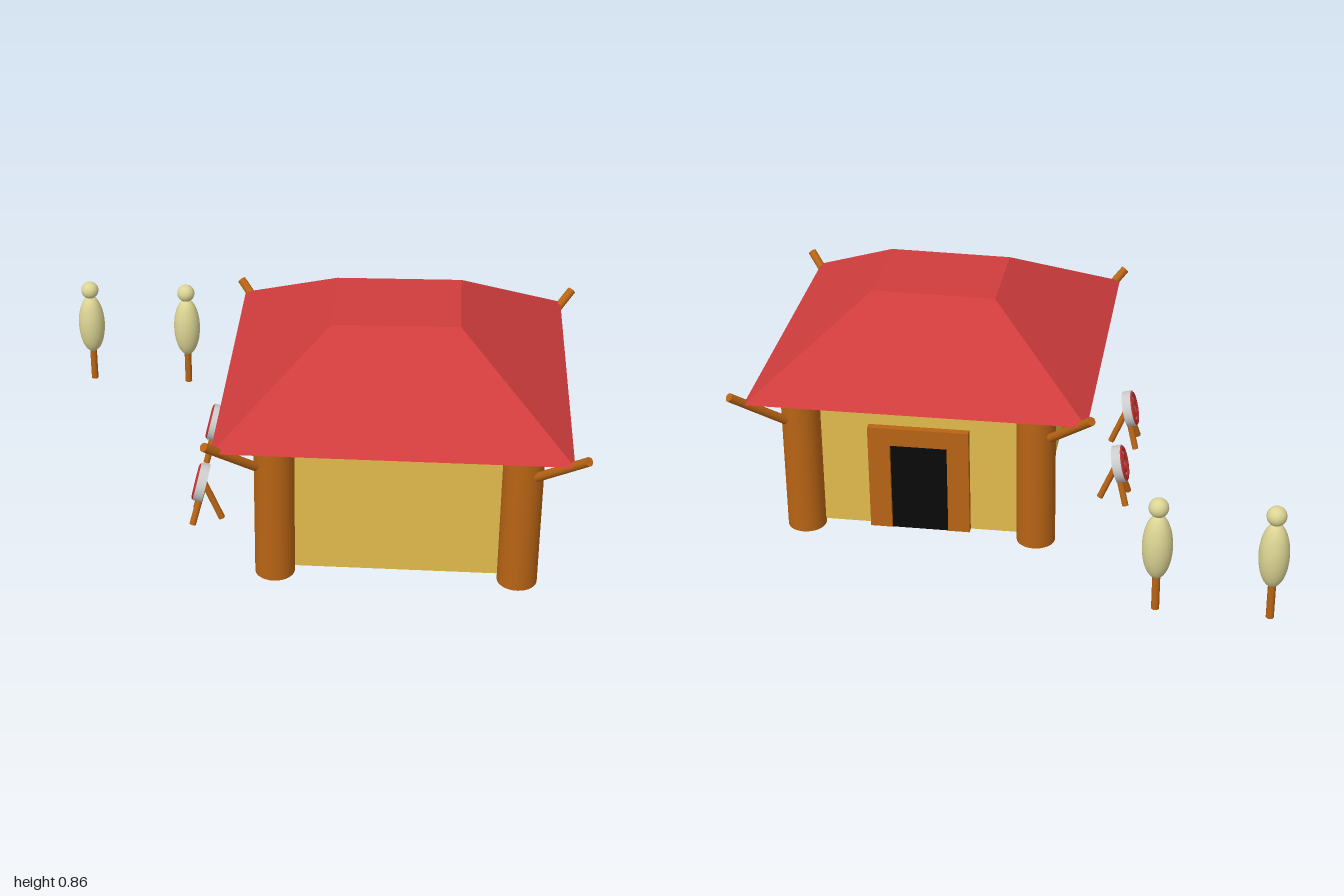
import * as THREE from 'three';

const mat = (color, extra = {}) => new THREE.MeshStandardMaterial({ color, ...extra });
const wood = mat(0xb86414);
const plaster = mat(0xe2bc4c, { side: THREE.DoubleSide, flatShading: true });
const tile = mat(0xd03c3c, { flatShading: true });
const black = mat(0x0a0a0a);
const straw = mat(0xdcd494);
const grey = mat(0xcccccc);
const red = mat(0xc83232);

function add(parent, name, geometry, material, x = 0, y = 0, z = 0) {
  const mesh = new THREE.Mesh(geometry, material);
  mesh.name = name;
  mesh.position.set(x, y, z);
  parent.add(mesh);
  return mesh;
}

// Round pole between two points
function pole(parent, name, a, b, radius) {
  const from = new THREE.Vector3(...a), to = new THREE.Vector3(...b);
  const dir = to.clone().sub(from);
  const mesh = add(parent, name, new THREE.CylinderGeometry(radius, radius, dir.length(), 16), wood);
  mesh.position.copy(from).add(to).multiplyScalar(0.5);
  mesh.quaternion.setFromUnitVectors(new THREE.Vector3(0, 1, 0), dir.normalize());
}

// Hipped roof: a box whose upper corners are drawn in to a small flat top
function roofGeometry() {
  const geo = new THREE.BoxGeometry(1, 1, 1);
  const p = geo.attributes.position;
  for (let i = 0; i < p.count; i++) {
    const right = p.getX(i) > 0, top = p.getY(i) > 0, front = p.getZ(i) > 0;
    if (top) p.setXYZ(i, right ? 0.55 : 0.1, right ? 0.862 : 0.855, front ? 0.3 : -0.07);
    else p.setXYZ(i, right ? 0.94 : -0.28, 0.58, front ? 0.74 : -0.48);
  }
  geo.computeVertexNormals();
  return geo;
}

function createHut() {
  const hut = new THREE.Group();
  hut.name = 'hut';

  // Four walls, open above and below
  const r = 0.43 * Math.SQRT2;
  const walls = add(hut, 'walls', new THREE.CylinderGeometry(r, r, 0.56, 4, 1, true), plaster, 0.35, 0.3, 0.132);
  walls.rotation.y = Math.PI / 4;
  add(hut, 'roof', roofGeometry(), tile);

  // Corner posts and the slanting beams that carry the eaves
  for (const sx of [-1, 1]) {
    for (const sz of [-1, 1]) {
      add(hut, 'cornerPost', new THREE.CylinderGeometry(0.071, 0.071, 0.58, 32), wood,
        0.35 + sx * 0.43, 0.29, 0.132 + sz * 0.432);
      pole(hut, 'eaveBeam', [0.342 + sx * 0.482, 0.46, 0.13 + sz * 0.485],
        [0.342 + sx * 0.64, 0.62, 0.13 + sz * 0.633], 0.016);
    }
  }

  // Doorway in the back wall
  add(hut, 'doorway', new THREE.BoxGeometry(0.285, 0.388, 0.145), black, 0.348, 0.206, -0.2375);
  const frame = new THREE.Shape();
  frame.moveTo(-0.185, 0.02);
  frame.lineTo(-0.105, 0.02);
  frame.lineTo(-0.105, 0.365);
  frame.lineTo(0.105, 0.365);
  frame.lineTo(0.105, 0.02);
  frame.lineTo(0.185, 0.02);
  frame.lineTo(0.185, 0.435);
  frame.lineTo(-0.185, 0.435);
  add(hut, 'doorFrame', new THREE.ExtrudeGeometry(frame, { depth: 0.05, bevelEnabled: false }),
    wood, 0.348, 0, -0.325);
  return hut;
}

// Straw training figure on a stake
function createDummy(x) {
  const dummy = new THREE.Group();
  dummy.name = 'strawDummy';
  dummy.position.set(x, 0, -0.735);
  add(dummy, 'stake', new THREE.CylinderGeometry(0.014, 0.014, 0.15, 16), wood, 0, 0.105, 0);
  add(dummy, 'body', new THREE.SphereGeometry(0.053, 32, 24), straw, 0, 0.283, 0).scale.y = 2.38;
  add(dummy, 'head', new THREE.SphereGeometry(0.035, 24, 16), straw, 0, 0.436, 0);
  return dummy;
}

// Round target on a tripod, facing -x and leaning back
function createTarget(z) {
  const target = new THREE.Group();
  target.name = 'archeryTarget';
  target.position.set(-0.365, 0, z);

  const face = new THREE.Group();
  face.name = 'targetFace';
  face.position.y = 0.216;
  face.rotation.z = -0.24;
  target.add(face);
  add(face, 'disc', new THREE.CylinderGeometry(0.07, 0.07, 0.034, 32), grey).rotation.z = Math.PI / 2;
  for (const radius of [0.056, 0.027]) {
    const ring = add(face, 'redRing', new THREE.TorusGeometry(radius, 0.011, 8, 32), red, -0.017, 0, 0);
    ring.rotation.y = Math.PI / 2;
    ring.scale.z = 0.6;
  }

  for (const s of [-1, 1]) pole(target, 'frontLeg', [0.005, 0.2, s * 0.02], [-0.03, 0.07, s * 0.056], 0.012);
  pole(target, 'rearLeg', [0.005, 0.225, 0], [0.071, 0.068, 0], 0.012);
  return target;
}

export function createModel() {
  const model = new THREE.Group();
  model.name = 'trainingHut';
  model.add(createHut());
  for (const x of [-0.947, -0.553]) model.add(createDummy(x));
  for (const z of [-0.085, 0.345]) model.add(createTarget(z));
  return model;
}
